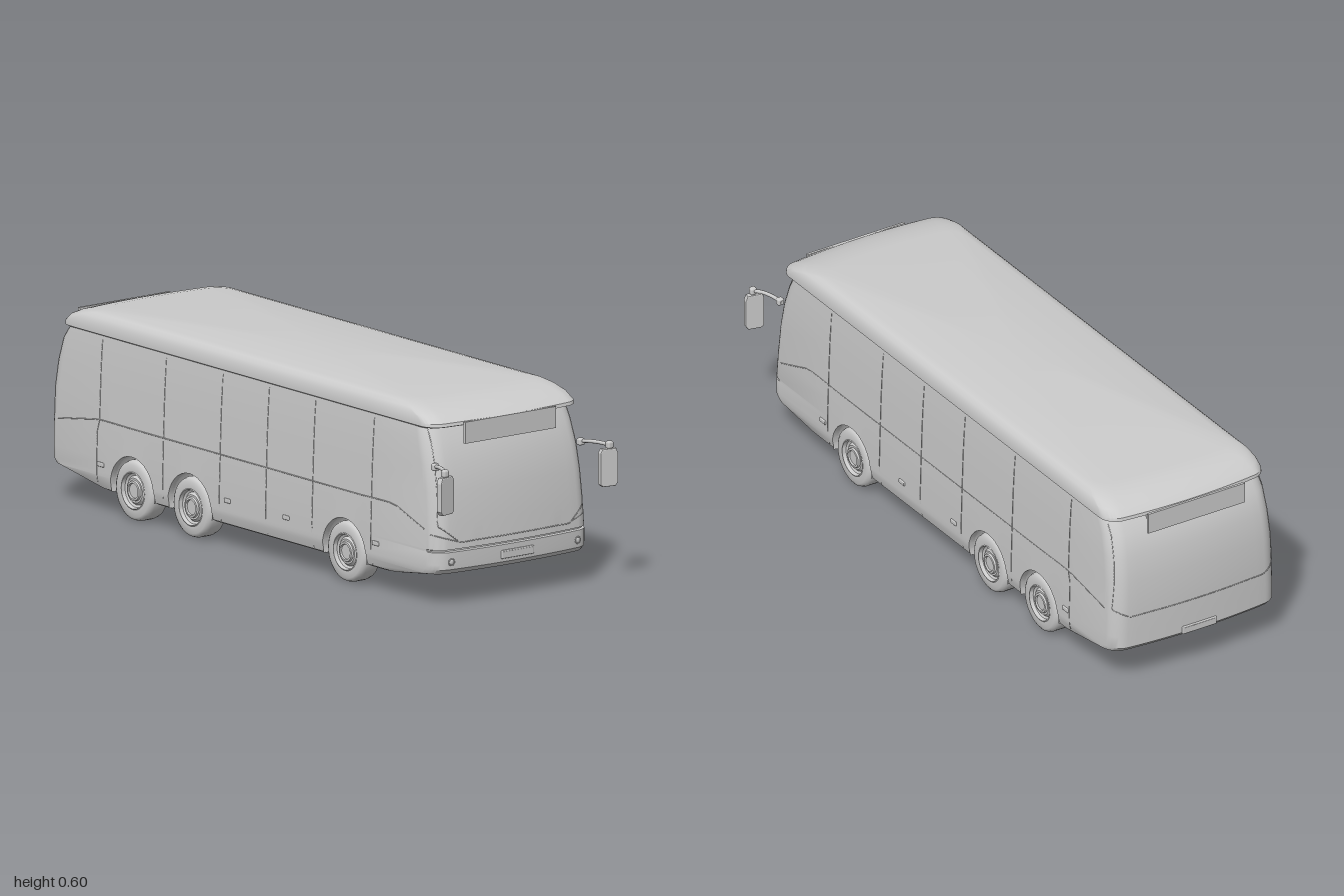
import * as THREE from 'three';
import { toCreasedNormals } from 'three/addons/utils/BufferGeometryUtils.js';
import { RoundedBoxGeometry } from 'three/addons/geometries/RoundedBoxGeometry.js';

const AXLES = [-0.56, -0.28, 0.47], HUB_Y = 0.095, ARCH_R = 0.105;
const CORNER = 0.05, BOW = 0.02;

// Body and roof outlines by height: [y, half width, front z, back z]
const BODY = [
  [0.07, 0.275, 0.715, -0.74], [0.076, 0.286, 0.76, -0.77], [0.1, 0.293, 0.92, -0.89],
  [0.115, 0.295, 0.935, -0.975], [0.13, 0.295, 0.936, -0.99], [0.168, 0.295, 0.936, -0.99],
  [0.17, 0.295, 0.926, -0.99], [0.174, 0.295, 0.926, -0.99], [0.176, 0.295, 0.935, -0.99],
  [0.25, 0.293, 0.93, -0.99], [0.35, 0.29, 0.92, -0.987], [0.43, 0.287, 0.905, -0.975],
  [0.5, 0.283, 0.882, -0.955], [0.545, 0.279, 0.86, -0.925],
];
const ROOF = [
  [0.54, 0.277, 0.885, -0.935], [0.545, 0.284, 0.9, -0.948], [0.555, 0.284, 0.897, -0.946],
  [0.575, 0.281, 0.866, -0.925], [0.59, 0.274, 0.82, -0.89], [0.6, 0.262, 0.775, -0.855],
  [0.605, 0.24, 0.73, -0.82],
];

const material = new THREE.MeshStandardMaterial({ color: 0xcccccc });
const linerMaterial = new THREE.MeshStandardMaterial({ color: 0xcccccc, side: THREE.DoubleSide });

function add(parent, name, geometry, x = 0, y = 0, z = 0, mat = material) {
  const mesh = new THREE.Mesh(geometry, mat);
  mesh.name = name;
  mesh.position.set(x, y, z);
  parent.add(mesh);
  return mesh;
}

// Columns along the side wall: [z, lowest y], lifted over each wheel arch
const COLUMNS = AXLES.flatMap((c) => {
  const cols = [[c - ARCH_R, 0]];
  for (let i = 0; i <= 16; i++) {
    const a = Math.PI * (1 - i / 16);
    cols.push([c + ARCH_R * Math.cos(a), HUB_Y + ARCH_R * Math.sin(a)]);
  }
  return [...cols, [c + ARCH_R, 0]];
});

// One closed horizontal section: rounded corners, slightly bowed ends
function ring([y, w, zf, zb], arches) {
  const half = [];
  const end = (z, s) => {
    const pts = [];
    for (let i = 0; i < 8; i++) pts.push([(w - CORNER) * i / 8, z]);
    for (let i = 0; i <= 8; i++) {
      const a = Math.PI / 2 * i / 8;
      pts.push([w - CORNER + CORNER * Math.sin(a), z - s * CORNER * (1 - Math.cos(a))]);
    }
    return pts.map(([x, pz]) => new THREE.Vector3(x, y, pz - s * BOW * (x / w) ** 2));
  };
  half.push(...end(zb, -1));
  for (const [z, low] of COLUMNS) half.push(new THREE.Vector3(w, arches ? Math.max(y, low) : y, z));
  half.push(...end(zf, 1).reverse());
  const other = half.slice(1, -1).reverse().map((p) => new THREE.Vector3(-p.x, p.y, p.z));
  return [...half, ...other];
}

// Skin stacked rings, optionally closing bottom and top with fans
function loft(rings, bottom, top) {
  const n = rings[0].length, pos = rings.flat().flatMap((p) => [p.x, p.y, p.z]), idx = [];
  for (let r = 0; r < rings.length - 1; r++) {
    for (let i = 0; i < n; i++) {
      const j = (i + 1) % n, a = r * n + i, b = r * n + j;
      idx.push(a, a + n, b, b, a + n, b + n);
    }
  }
  const fan = (r, up) => {
    const c = pos.length / 3;
    pos.push(0, rings[r][0].y, 0);
    for (let i = 0; i < n; i++) {
      const a = r * n + i, b = r * n + (i + 1) % n;
      idx.push(c, ...(up ? [b, a] : [a, b]));
    }
  };
  if (bottom) fan(0, false);
  if (top) fan(rings.length - 1, true);
  const g = new THREE.BufferGeometry();
  g.setAttribute('position', new THREE.Float32BufferAttribute(pos, 3));
  g.setIndex(idx);
  return toCreasedNormals(g, 0.6);
}

// Outline at any height, and points lying on the sides and ends
function outline(y) {
  const k = Math.max(1, BODY.findIndex((r) => r[0] >= y)), a = BODY[k - 1], b = BODY[k];
  return a.map((v, i) => THREE.MathUtils.lerp(v, b[i], (y - a[0]) / (b[0] - a[0])));
}
const onSide = (s) => (z, y) => new THREE.Vector3(s * outline(y)[1], y, z);
const onEnd = (s) => (x, y) => {
  const [, w, zf, zb] = outline(y), over = Math.max(0, Math.abs(x) - (w - CORNER));
  const drop = BOW * (x / w) ** 2 + CORNER - Math.sqrt(Math.max(0, CORNER ** 2 - over ** 2));
  return new THREE.Vector3(x, y, (s > 0 ? zf : zb) - s * drop);
};

// Thin seam following the surface through a few points
function seam(parent, name, surface, pts) {
  const path = [];
  for (let i = 0; i < pts.length - 1; i++) {
    for (let k = 0; k < 8; k++) {
      const t = k / 8, [a, b] = [pts[i], pts[i + 1]];
      path.push(surface(a[0] + (b[0] - a[0]) * t, a[1] + (b[1] - a[1]) * t));
    }
  }
  path.push(surface(...pts[pts.length - 1]));
  add(parent, name, new THREE.TubeGeometry(new THREE.CatmullRomCurve3(path), path.length * 2, 0.0016, 4));
}

function makeWheel() {
  const wheel = new THREE.Group();
  wheel.name = 'wheel';
  const spin = (pts, ...arc) => new THREE.LatheGeometry(pts.map((p) => new THREE.Vector2(...p)), 40, ...arc).rotateZ(-Math.PI / 2);
  const tyre = [[0, 0], [0.078, 0], [0.09, 0.008], [0.093, 0.02], [0.093, 0.054], [0.089, 0.065], [0.08, 0.071], [0.058, 0.07]];
  const rim = [[0.058, 0.07], [0.055, 0.072], [0.052, 0.06], [0.045, 0.056], [0.038, 0.064], [0.032, 0.064], [0.03, 0.07], [0.024, 0.071], [0.022, 0.066], [0, 0.066]];
  add(wheel, 'tyre', toCreasedNormals(spin(tyre), 0.7));
  add(wheel, 'rim', toCreasedNormals(spin(rim), 0.5));
  add(wheel, 'archLiner', spin([[0, -0.006], [ARCH_R, -0.006], [ARCH_R, 0.071]], Math.PI - 0.2, Math.PI + 0.4), 0, 0, 0, linerMaterial);
  return wheel;
}

function makeMirror(s) {
  const mirror = new THREE.Group();
  mirror.name = s > 0 ? 'leftMirror' : 'rightMirror';
  const arm = new THREE.CatmullRomCurve3([[0.276, 0.43, 0.88], [0.284, 0.435, 0.915], [0.298, 0.436, 0.955], [0.312, 0.432, 0.982]]
    .map(([x, y, z]) => new THREE.Vector3(s * x, y, z)));
  add(mirror, 'mirrorArm', new THREE.TubeGeometry(arm, 16, 0.006, 8));
  add(mirror, 'mirrorMount', new RoundedBoxGeometry(0.022, 0.022, 0.02, 2, 0.006), s * 0.277, 0.43, 0.89);
  add(mirror, 'mirrorJoint', new RoundedBoxGeometry(0.022, 0.024, 0.02, 2, 0.007), s * 0.313, 0.432, 0.984);
  // Housing with clipped corners
  const shape = new THREE.Shape([[-0.021, -0.056], [0.02, -0.056], [0.028, -0.045], [0.028, 0.04], [0.022, 0.056], [-0.022, 0.056], [-0.028, 0.045], [-0.028, -0.05]]
    .map(([x, y]) => new THREE.Vector2(s * x, y)));
  const housing = new THREE.ExtrudeGeometry(shape, { depth: 0.012, bevelThickness: 0.004, bevelSize: 0.003, bevelOffset: -0.001, bevelSegments: 2 });
  add(mirror, 'mirrorHousing', housing, s * 0.311, 0.363, 0.976).rotation.y = -s * 0.2;
  return mirror;
}

export function createModel() {
  const bus = new THREE.Group();
  bus.name = 'bus';
  add(bus, 'body', loft(BODY.map((r) => ring(r, true)), false, false));
  add(bus, 'floor', loft([ring(BODY[0], false)], true, false));
  add(bus, 'roof', loft(ROOF.map((r) => ring(r, false)), true, true));

  for (const s of [1, -1]) {
    for (const z of AXLES) {
      const wheel = makeWheel();
      wheel.position.set(s * 0.22, HUB_Y, z);
      wheel.rotation.y = s > 0 ? 0 : Math.PI;
      bus.add(wheel);
    }
    bus.add(makeMirror(s));

    // Side panel joints, waistline and hatch handles
    for (const z of [0.6, 0.315, 0.09, -0.135, -0.41]) seam(bus, 'panelSeam', onSide(s), [[z, z === -0.41 ? 0.1 : 0.08], [z, 0.53]]);
    seam(bus, 'rearPanelSeam', onSide(s), [[-0.73, 0.09], [-0.73, 0.25], [-0.72, 0.285], [-0.72, 0.53]]);
    seam(bus, 'waistline', onSide(s), [[0.86, 0.235], [0.715, 0.285], [-0.73, 0.285], [-0.92, 0.255]]);
    for (const z of [0.625, 0.19, -0.095, -0.71]) add(bus, 'hatchHandle', new RoundedBoxGeometry(0.008, 0.014, 0.03, 2, 0.003), s * 0.295, 0.15, z);

    // Front corner creases and fog lamps
    seam(bus, 'frontCornerSeam', onEnd(1), [[s * 0.29, 0.222], [s * 0.21, 0.196]]);
    const lamp = new THREE.Group();
    lamp.name = 'fogLamp';
    lamp.position.copy(onEnd(1)(s * 0.24, 0.138));
    add(lamp, 'lampBezel', new THREE.TorusGeometry(0.01, 0.002, 8, 24));
    add(lamp, 'lampLens', new THREE.SphereGeometry(0.009, 16, 8).scale(1, 1, 0.4));
    bus.add(lamp);
  }

  // Windscreen and rear window outlines
  seam(bus, 'windscreenEdge', onEnd(1), [[-0.262, 0.54], [-0.268, 0.42], [-0.275, 0.248], [-0.21, 0.196], [0.21, 0.196], [0.275, 0.248], [0.268, 0.42], [0.262, 0.54]]);
  seam(bus, 'rearWindowEdge', onEnd(-1), [[-0.268, 0.53], [-0.275, 0.4], [-0.285, 0.26], [-0.24, 0.235], [0.24, 0.235], [0.285, 0.26], [0.275, 0.4], [0.268, 0.53]]);

  // Destination boards and number plates, front and back
  for (const [s, boardY, boardZ, plateZ] of [[1, 0.522, 0.9, 0.936], [-1, 0.535, -0.972, -0.99]]) {
    add(bus, 'destinationBoard', new THREE.BoxGeometry(0.346, 0.066, 0.008), 0, boardY, boardZ);
    add(bus, 'boardBracket', new THREE.BoxGeometry(0.3, 0.02, 0.05), 0, boardY - 0.01, boardZ - s * 0.025);
    add(bus, 'numberPlate', new RoundedBoxGeometry(0.122, 0.026, 0.008, 2, 0.003), 0, 0.138, plateZ);
    add(bus, 'plateFace', new THREE.BoxGeometry(0.112, 0.018, 0.002), 0, 0.138, plateZ + s * 0.004);
  }
  return bus;
}
